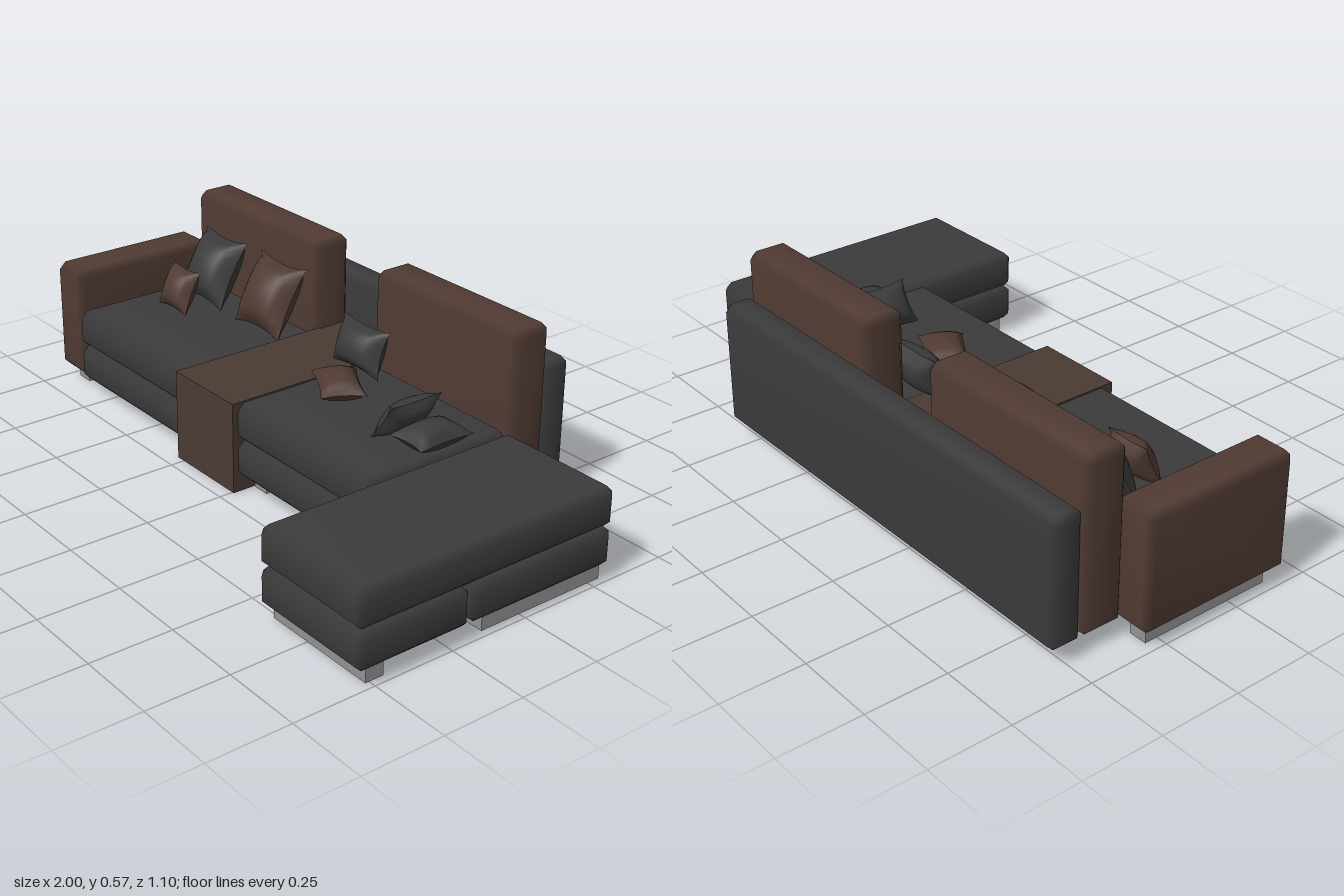
import * as THREE from 'three';
import { mergeGeometries, mergeVertices } from 'three/addons/utils/BufferGeometryUtils.js';
import { ConvexGeometry } from 'three/addons/geometries/ConvexGeometry.js';

const material = (name, color) => {
  const m = new THREE.MeshStandardMaterial({ color });
  m.name = name;
  return m;
};

// Box with chamfered edges and soft shading
function softBox(w, h, d, c = 0.022) {
  const points = [];
  for (const x of [-1, 1]) for (const y of [-1, 1]) for (const z of [-1, 1]) {
    const X = w / 2, Y = h / 2, Z = d / 2;
    points.push(
      new THREE.Vector3(x * X, y * (Y - c), z * (Z - c)),
      new THREE.Vector3(x * (X - c), y * Y, z * (Z - c)),
      new THREE.Vector3(x * (X - c), y * (Y - c), z * Z));
  }
  const g = new ConvexGeometry(points);
  g.deleteAttribute('normal');
  const merged = mergeVertices(g, 1e-5);
  merged.computeVertexNormals();
  return merged;
}

// Throw pillow: two domed sheets with pointed corners and drawn-in edges
function pillowGeometry(w, h, t) {
  const half = () => {
    const g = new THREE.PlaneGeometry(2, 2, 10, 10);
    const p = g.attributes.position;
    for (let i = 0; i < p.count; i++) {
      const u = p.getX(i), v = p.getY(i);
      const dome = Math.sqrt(Math.max(0, (1 - u * u) * (1 - v * v)));
      p.setXYZ(i,
        u * (w / 2) * (1 - 0.12 * (1 - v * v)),
        v * (h / 2) * (1 - 0.12 * (1 - u * u)),
        dome * t / 2);
    }
    g.computeVertexNormals();
    return g;
  };
  return mergeGeometries([half(), half().rotateY(Math.PI)]);
}

export function createModel() {
  const model = new THREE.Group();
  model.name = 'sectionalSofa';

  const charcoal = material('charcoalFabric', 0x3b3b3b);
  const brown = material('brownFabric', 0x503b33);
  const wood = material('darkWood', 0x4b3a33);
  const metal = material('greyMetal', 0x929292);

  const add = (name, geometry, mat) => {
    const mesh = new THREE.Mesh(geometry, mat);
    mesh.name = name;
    model.add(mesh);
    return mesh;
  };
  // Place parts by their extents on each axis
  const block = (name, mat, [x0, x1], [y0, y1], [z0, z1], soft = true) => {
    const size = [x1 - x0, y1 - y0, z1 - z0];
    const mesh = add(name, soft ? softBox(...size) : new THREE.BoxGeometry(...size), mat);
    mesh.position.set((x0 + x1) / 2, (y0 + y1) / 2, (z0 + z1) / 2);
  };

  // Seat and chaise
  const lower = [0.042, 0.16], upper = [0.16, 0.28], seatZ = [-0.313, 0.186];
  block('seatBase', charcoal, [-0.867, 1], lower, seatZ);
  block('seatCushion', charcoal, [-0.867, 0.59], upper, seatZ);
  block('chaiseBase', charcoal, [0.588, 1], lower, [0.186, 0.55]);
  block('chaiseCushion', charcoal, [0.588, 1], upper, [-0.313, 0.55]);

  // Arm and backs
  block('armRest', brown, [-1, -0.863], [0.045, 0.406], [-0.324, 0.18]);
  block('backCushionRight', brown, [-0.908, -0.272], [0.045, 0.57], [-0.448, -0.312]);
  block('backCushionLeft', brown, [0, 0.6], [0.045, 0.57], [-0.448, -0.312]);
  block('rearPanel', charcoal, [-0.908, 0.585], [0.045, 0.437], [-0.55, -0.447]);

  // Console across the seat
  block('console', wood, [-0.28, 0.006], [0, 0.285], [-0.47, 0.205], false);

  // Runner legs
  for (const x of [-0.965, -0.335, 0.01, 0.92])
    block('runnerLeg', metal, [x, x + 0.057], [0, 0.048], [-0.29, 0.132], false);
  block('chaiseLeg', metal, [0.61, 0.977], [0, 0.048], [0.455, 0.512], false);

  // Throw pillows: name, material, size, position, rotation in degrees
  const pillows = [
    ['largeDarkPillow', charcoal, [0.22, 0.23, 0.13], [-0.692, 0.383, -0.225], [-28, 0, 0]],
    ['largeBrownPillow', brown, [0.225, 0.235, 0.13], [-0.39, 0.385, -0.225], [-28, 0, 0]],
    ['smallBrownPillow', brown, [0.148, 0.145, 0.085], [-0.692, 0.345, -0.09], [-25, 0, 0]],
    ['middleDarkPillow', charcoal, [0.21, 0.145, 0.105], [0.027, 0.353, -0.247], [-18, 0, 0]],
    ['flatBrownPillow', brown, [0.195, 0.135, 0.08], [0.13, 0.317, -0.082], [-90, -30, 0]],
    ['flatDarkPillow', charcoal, [0.135, 0.19, 0.078], [0.533, 0.316, -0.078], [-90, 0, 0]],
    ['leaningDarkPillow', charcoal, [0.185, 0.14, 0.078], [0.428, 0.335, -0.078], [0, 90, -35]],
  ];
  for (const [name, mat, size, position, turn] of pillows) {
    const pillow = add(name, pillowGeometry(...size), mat);
    pillow.position.set(...position);
    pillow.rotation.set(...turn.map(THREE.MathUtils.degToRad), 'ZYX');
  }
  return model;
}
